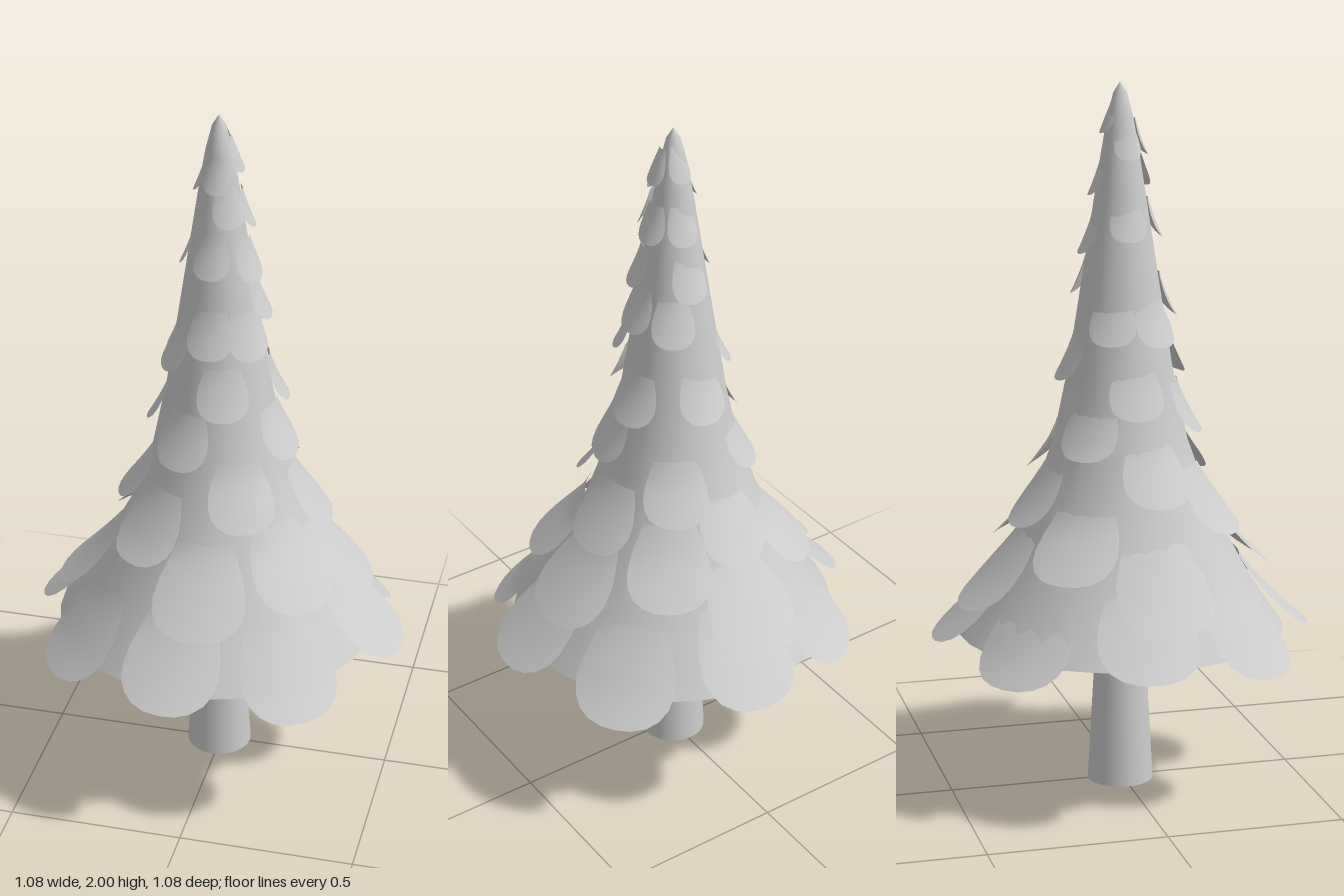
import * as THREE from 'three';

// Foliage profile: [height, radius] from skirt rim to tip
const PROFILE = [
  [0.38, 0.535], [0.46, 0.465], [0.6, 0.37], [0.8, 0.262], [1.0, 0.19], [1.2, 0.148],
  [1.4, 0.116], [1.6, 0.085], [1.8, 0.054], [1.9, 0.037], [1.97, 0.019], [2.0, 0],
];

function bodyRadius(y) {
  let i = 0;
  while (i < PROFILE.length - 2 && y > PROFILE[i + 1][0]) i++;
  const [y0, r0] = PROFILE[i], [y1, r1] = PROFILE[i + 1];
  return Math.max(0, r0 + ((r1 - r0) * (y - y0)) / (y1 - y0));
}

// Overlapping leaf scales: [tip height, angle in degrees from +x towards +z]
const SCALES = [
  [0.62, 87], [0.55, 176], [0.55, 266], [0.6, -4],
  [0.66, 38], [0.76, 126], [0.67, 218], [0.7, 305],
  [0.88, 62], [0.8, 352], [0.78, 262], [0.86, 170],
  [0.91, 300], [1.03, 113], [1.03, 12], [0.98, 222],
  [1.18, 75], [1.09, 180], [1.18, 268], [1.17, 345],
  [1.28, 150], [1.29, 205], [1.34, 40], [1.35, 92],
  [1.43, 0], [1.41, 300], [1.53, 270], [1.57, 95], [1.57, 182],
  [1.55, 20], [1.69, 275], [1.69, 350], [1.71, 60],
  [1.79, 175], [1.8, 90], [1.85, 5], [1.86, 265],
];

// A rounded petal that lies on the foliage and lifts away towards its tip
function makeScale(tipY, degrees, lift, material) {
  const r = bodyRadius(tipY);
  const halfAngle = Math.min(0.175, 0.03 + 0.38 * r) / (r + lift);
  const length = 0.08 + 0.36 * Math.min(r, 0.4);
  const geo = new THREE.PlaneGeometry(2, 1, 12, 6);
  const pos = geo.attributes.position;
  for (let i = 0; i < pos.count; i++) {
    const t = pos.getX(i);
    const u = Math.sin((t * Math.PI) / 2);
    const v = 0.5 - pos.getY(i);
    const reach = 0.45 + 0.55 * Math.pow(Math.max(0, 1 - Math.abs(u) ** 2.4), 1 / 2.4);
    const s = v * reach;
    const y = tipY + length * (1 - s);
    const radius = bodyRadius(y) + 0.002 + lift * s ** 1.4;
    const width = 0.8 + 0.2 * Math.sin(Math.min(1, s / 0.55) * Math.PI / 2);
    const a = THREE.MathUtils.degToRad(degrees) - u * halfAngle * width;
    pos.setXYZ(i, Math.cos(a) * radius, y, Math.sin(a) * radius);
  }
  geo.computeVertexNormals();
  const mesh = new THREE.Mesh(geo, material);
  mesh.name = 'leafScale';
  return mesh;
}

export function createModel() {
  const material = new THREE.MeshStandardMaterial({ color: 0xcccccc });
  const thin = new THREE.MeshStandardMaterial({ color: 0xcccccc, side: THREE.DoubleSide });
  const model = new THREE.Group();
  model.name = 'tree';

  // Tapered trunk
  const trunk = new THREE.Mesh(new THREE.CylinderGeometry(0.068, 0.094, 0.46, 24), material);
  trunk.name = 'trunk';
  trunk.position.set(-0.007, 0.23, -0.005);
  model.add(trunk);

  // Hollow foliage cone, open underneath
  const points = PROFILE.slice(1).map(([y, r]) => new THREE.Vector2(r, y));
  const cone = new THREE.Mesh(new THREE.LatheGeometry(points, 32), thin);
  cone.name = 'foliageCone';
  cone.position.set(-0.007, 0, -0.005);
  model.add(cone);

  // Leaf scales, with two interleaved rings around the skirt
  const leaves = new THREE.Group();
  leaves.name = 'leafScales';
  for (let k = 0; k < 4; k++) {
    leaves.add(makeScale(0.445, 5 + 90 * k, 0.064, thin));
    leaves.add(makeScale(0.4, 51 + 90 * k, 0.018, thin));
  }
  for (const [y, angle] of SCALES) {
    leaves.add(makeScale(y, angle, Math.min(0.07, 0.008 + 0.18 * bodyRadius(y)), thin));
  }
  model.add(leaves);
  return model;
}
